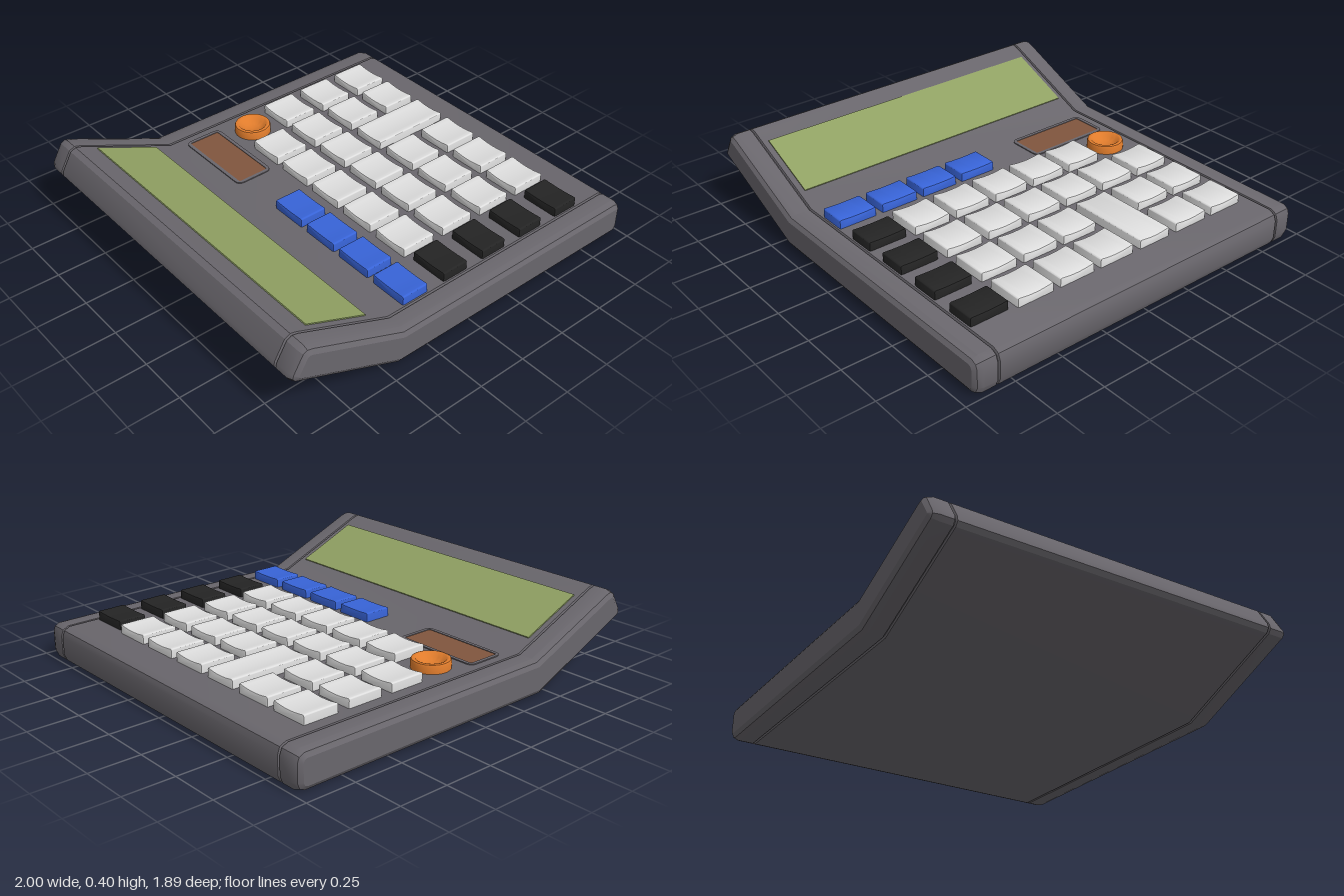
import * as THREE from 'three';
import { toCreasedNormals } from 'three/addons/utils/BufferGeometryUtils.js';

const mat = (name, color) => new THREE.MeshStandardMaterial({ name, color });

// Side outline of the bent case (x, y), counter-clockwise
const PROFILE = [
  [-0.43, 0.005], [0.95, 0], [0.982, 0.012], [0.996, 0.045], [0.996, 0.135], [0.985, 0.165], [0.955, 0.18],
  [-0.40, 0.18], [-0.885, 0.388], [-0.915, 0.396], [-0.943, 0.383], [-0.995, 0.296], [-1, 0.272], [-0.985, 0.25],
].map(p => new THREE.Vector2(...p));

// Outline moved inwards by d
function inset(points, d) {
  const n = points.length;
  return points.map((p, i) => {
    const a = p.clone().sub(points[(i + n - 1) % n]).normalize();
    const b = points[(i + 1) % n].clone().sub(p).normalize();
    const n1 = new THREE.Vector2(a.y, -a.x), n2 = new THREE.Vector2(b.y, -b.x);
    return p.clone().addScaledVector(n1.clone().add(n2), -d / (1 + n1.dot(n2)));
  });
}

// Case lofted through [z, inset] sections: bevelled ends and two narrow grooves
function caseGeometry() {
  const half = [[0.825, 0], [0.829, 0.01], [0.833, 0.01], [0.837, 0], [0.905, 0], [0.932, 0.01], [0.945, 0.03]];
  const sections = [...half.map(([z, d]) => [-z, d]).reverse(), ...half];
  const rings = sections.map(([z, d]) => inset(PROFILE, d).map(p => [p.x, p.y, z]));
  const n = PROFILE.length, last = rings.length - 1, pos = [], index = [];
  rings.forEach(r => r.forEach(p => pos.push(...p)));
  for (let k = 0; k < last; k++) {
    for (let i = 0; i < n; i++) {
      const a = k * n + i, b = k * n + (i + 1) % n;
      index.push(a, b, b + n, a, b + n, a + n);
    }
  }
  const end = inset(PROFILE, half[half.length - 1][1]);
  for (const [a, b, c] of THREE.ShapeUtils.triangulateShape(end, [])) {
    index.push(last * n + a, last * n + b, last * n + c, c, b, a);
  }
  const g = new THREE.BufferGeometry();
  g.setAttribute('position', new THREE.Float32BufferAttribute(pos, 3));
  g.setIndex(index);
  return toCreasedNormals(g, 0.5);
}

// Key with softened edges and a top that dips along z
function keyGeometry(w, d, dip) {
  const h = 0.055, r = 0.01, b = 0.008, s = new THREE.Shape();
  s.moveTo(-d / 2, 0);
  s.lineTo(d / 2, 0);
  s.lineTo(d / 2, h - r);
  s.quadraticCurveTo(d / 2, h, d / 2 - r, h);
  s.quadraticCurveTo(0, h - 2 * dip, -d / 2 + r, h);
  s.quadraticCurveTo(-d / 2, h, -d / 2, h - r);
  const g = new THREE.ExtrudeGeometry(s, {
    depth: w - 2 * b, bevelThickness: b, bevelSize: b, bevelOffset: -b, bevelSegments: 2, curveSegments: 8,
  });
  g.translate(0, 0, -w / 2 + b).rotateY(Math.PI / 2);
  return toCreasedNormals(g, 0.5);
}

function roundedRect(target, w, h, r) {
  const x = w / 2, y = h / 2;
  target.moveTo(-x + r, -y);
  target.lineTo(x - r, -y);
  target.quadraticCurveTo(x, -y, x, -y + r);
  target.lineTo(x, y - r);
  target.quadraticCurveTo(x, y, x - r, y);
  target.lineTo(-x + r, y);
  target.quadraticCurveTo(-x, y, -x, y - r);
  target.lineTo(-x, -y + r);
  target.quadraticCurveTo(-x, -y, -x + r, -y);
  return target;
}

export function createModel() {
  const model = new THREE.Group();
  model.name = 'calculator';
  const body = mat('greyPlastic', 0x69666c);
  const screen = mat('screenGreen', 0x90a163);
  const white = mat('whiteKeys', 0xdedede);
  const blue = mat('blueKeys', 0x3864d8);
  const black = mat('blackKeys', 0x242424);
  const orange = mat('orangeKey', 0xe07c2c);
  const brown = mat('solarBrown', 0x81563e);

  const add = (name, geometry, material, x = 0, y = 0, z = 0) => {
    const m = new THREE.Mesh(geometry, material);
    m.name = name;
    m.position.set(x, y, z);
    model.add(m);
    return m;
  };

  add('case', caseGeometry(), body);

  // Display plate lying on the tilted panel
  const tilt = Math.atan2(0.208, 0.485);
  const onSlope = x => 0.18 + (-0.40 - x) * Math.tan(tilt);
  const display = add('display', new THREE.BoxGeometry(0.317 / Math.cos(tilt), 0.008, 1.595), screen,
    -0.657, onSlope(-0.657) + 0.002, -0.002);
  display.rotation.z = -tilt;

  // Solar cell with a thin surround
  const ring = roundedRect(new THREE.Shape(), 0.2, 0.455, 0.035);
  ring.holes.push(roundedRect(new THREE.Path(), 0.165, 0.42, 0.008));
  const ringGeometry = new THREE.ExtrudeGeometry(ring, { depth: 0.006, bevelEnabled: false, curveSegments: 5 });
  add('solarSurround', ringGeometry.rotateX(-Math.PI / 2), body, -0.232, 0.179, -0.557);
  add('solarCell', new THREE.BoxGeometry(0.165, 0.006, 0.42), brown, -0.232, 0.179, -0.557);

  // Keypad grid
  const cols = [0.006, 0.245, 0.485, 0.725];
  const rows = [0, 1, 2, 3, 4, 5, 6].map(i => -0.67 + i * 0.2315);
  const keyY = 0.17;
  const whiteKey = keyGeometry(0.184, 0.195, 0.008);
  const smallKey = keyGeometry(0.144, 0.197, 0.003);
  rows.slice(0, 6).forEach((z, r) => cols.forEach((x, c) => {
    if ((r === 0 && c === 0) || (r === 2 && c > 1)) return;
    add('whiteKey', whiteKey, white, x, keyY, z);
  }));
  add('wideKey', keyGeometry(0.424, 0.182, 0.008), white, 0.605, keyY, rows[2]);
  cols.forEach(x => add('blackKey', smallKey, black, x + 0.002, keyY, rows[6]));
  rows.slice(3).forEach(z => add('blueKey', smallKey, blue, -0.232, keyY, z));

  // Round dished key
  const dish = [[0.092, 0], [0.092, 0.043], [0.088, 0.052], [0.08, 0.055], [0.07, 0.052],
    [0.058, 0.036], [0.035, 0.024], [0, 0.02]].map(p => new THREE.Vector2(...p));
  add('roundKey', toCreasedNormals(new THREE.LatheGeometry(dish, 40), 0.7), orange, cols[0], keyY, rows[0]);

  return model;
}
